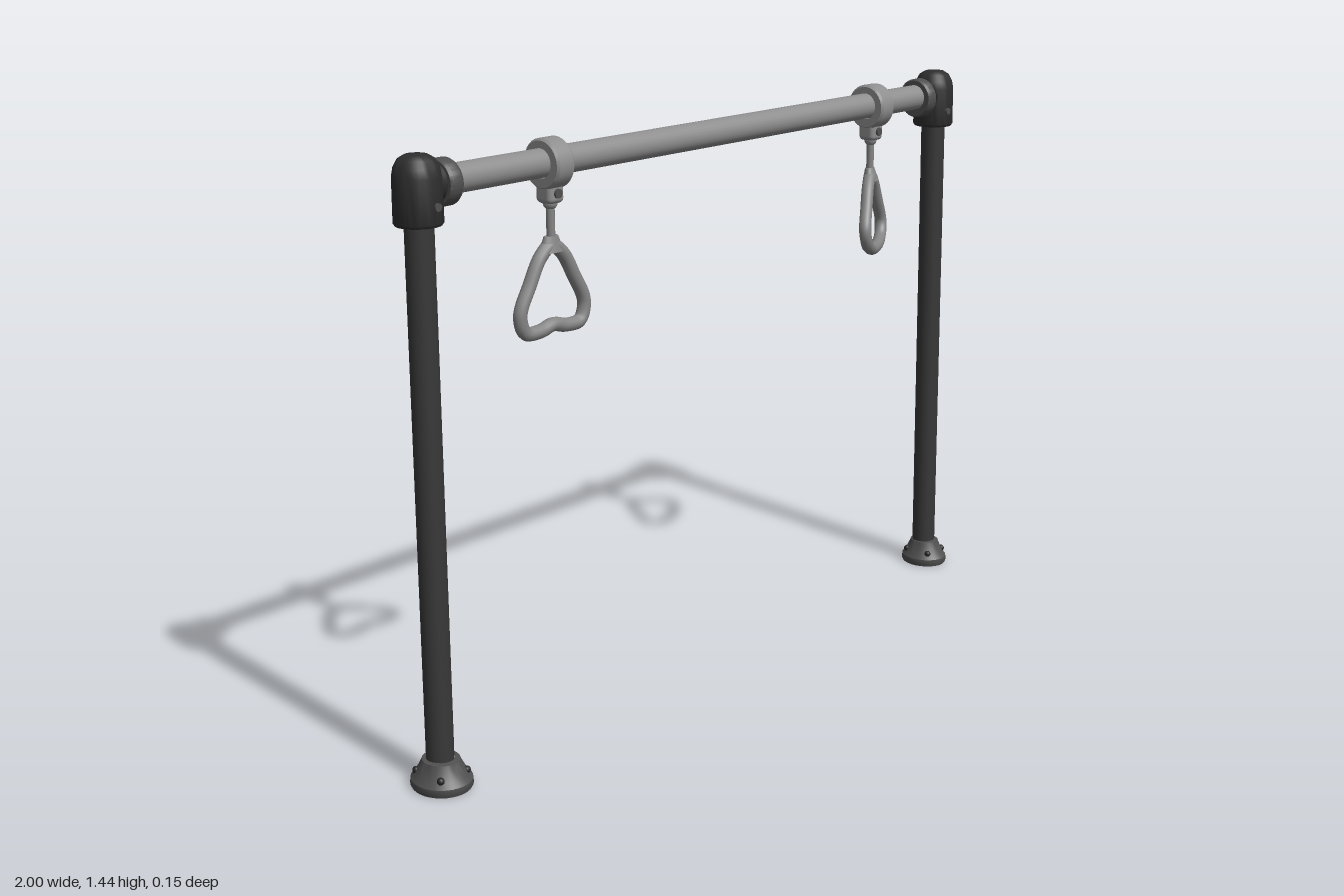
import * as THREE from 'three';
import { toCreasedNormals } from 'three/addons/utils/BufferGeometryUtils.js';
import { RoundedBoxGeometry } from 'three/addons/geometries/RoundedBoxGeometry.js';

const material = (name, color) => {
  const m = new THREE.MeshStandardMaterial({ color });
  m.name = name;
  return m;
};

const BAR_Y = 1.376;
const BAR_Z = -0.01;

export function createModel() {
  const post = material('charcoal post', 0x383838);
  const cap = material('dark cap', 0x2e2e2e);
  const fitting = material('medium grey fitting', 0x505050);
  const bolt = material('dark bolt', 0x252525);
  const steel = material('light grey steel', 0x8e8e8e);
  const grip = material('grey grip', 0x858585);

  const model = new THREE.Group();
  model.name = 'pullUpFrame';

  const add = (parent, name, geometry, mat, x = 0, y = 0, z = 0) => {
    const mesh = new THREE.Mesh(geometry, mat);
    mesh.name = name;
    mesh.position.set(x, y, z);
    parent.add(mesh);
    return mesh;
  };
  const lathe = (points, segments = 32) =>
    toCreasedNormals(new THREE.LatheGeometry(points.map(p => new THREE.Vector2(...p)), segments), 0.6);

  // Tube between two points
  const rod = (parent, name, a, b, r, mat) => {
    const from = new THREE.Vector3(...a), to = new THREE.Vector3(...b);
    const mesh = add(parent, name, new THREE.CylinderGeometry(r, r, from.distanceTo(to), 28), mat);
    mesh.position.copy(from).lerp(to, 0.5);
    mesh.quaternion.setFromUnitVectors(new THREE.Vector3(0, 1, 0), to.sub(from).normalize());
    return mesh;
  };

  // Posts with a floor flange, domed corner cap and bar socket
  const ends = [
    { side: -1, foot: -0.932, top: -0.925, flange: 0.069 },
    { side: 1, foot: 0.936, top: 0.918, flange: 0.06 },
  ];
  for (const { side, foot, top, flange } of ends) {
    const end = new THREE.Group();
    end.name = side < 0 ? 'rightPostAssembly' : 'leftPostAssembly';
    model.add(end);

    rod(end, 'post', [foot, 0.02, -0.003], [top, 1.32, -0.004], 0.032, post);

    const k = flange / 0.069;
    const base = add(end, 'floorFlange', lathe([
      [0, 0], [0.066, 0], [0.069, 0.006], [0.068, 0.02], [0.058, 0.032], [0.045, 0.058], [0.042, 0.066], [0.03, 0.068],
    ]), fitting, foot);
    base.scale.set(k, 1, k * 1.1);
    for (let i = 0; i < 4; i++) {
      const a = Math.PI / 4 + i * Math.PI / 2;
      add(end, 'flangeBolt', new THREE.SphereGeometry(0.009, 12, 8), bolt,
        foot + Math.cos(a) * 0.055 * k, 0.036, Math.sin(a) * 0.06 * k);
    }

    add(end, 'cornerCap', lathe([
      [0.03, 1.292], [0.05, 1.292], [0.054, 1.298], [0.053, 1.395], [0.049, 1.415],
      [0.04, 1.432], [0.025, 1.441], [0, 1.443],
    ]), cap, top, 0, -0.005);

    rod(end, 'barSocket', [top, BAR_Y, BAR_Z], [side * 0.875, BAR_Y, BAR_Z], 0.045, cap);
    const collar = add(end, 'barCollar', lathe([
      [0.031, -0.018], [0.048, -0.018], [0.052, -0.012], [0.052, 0.012], [0.048, 0.018], [0.031, 0.018],
    ]), fitting, side * 0.852, BAR_Y - 0.003, BAR_Z);
    collar.rotation.z = Math.PI / 2;

    // Set screws on both faces of the cap
    for (const z of [-1, 1]) {
      const screw = add(end, 'setScrew', new THREE.CylinderGeometry(0.009, 0.009, 0.01, 12), fitting,
        top - side * 0.008, 1.335, -0.005 + z * 0.053);
      screw.rotation.x = Math.PI / 2;
    }
  }

  // Crossbar
  rod(model, 'crossbar', [-0.88, BAR_Y, BAR_Z], [0.88, BAR_Y, BAR_Z], 0.033, steel);

  // Closed handle loop from half of its outline
  const loop = half => {
    const mirrored = half.slice(1, -1).reverse().map(([x, y]) => [-x, y]);
    const curve = new THREE.CatmullRomCurve3(
      [...half, ...mirrored].map(([x, y]) => new THREE.Vector3(x, y, 0)), true);
    return new THREE.TubeGeometry(curve, 96, 0.0165, 12, true);
  };
  const flatGrip = [[0, -0.015], [0.034, -0.038], [0.068, -0.095], [0.1, -0.162], [0.086, -0.204], [0.04, -0.208], [0, -0.199]];
  const roundGrip = [[0, -0.015], [0.034, -0.038], [0.07, -0.09], [0.104, -0.15], [0.088, -0.188], [0.045, -0.207], [0, -0.211]];

  // Hanging handles: clamp ring, lug, stem and grip
  const handles = [
    { name: 'rightHandle', x: -0.541, outline: flatGrip, turn: 0, tilt: 0 },
    { name: 'leftHandle', x: 0.641, outline: roundGrip, turn: 0.45, tilt: -0.1 },
  ];
  for (const { name, x, outline, turn, tilt } of handles) {
    const hanger = new THREE.Group();
    hanger.name = name;
    hanger.position.set(x, 0, BAR_Z);
    model.add(hanger);

    const ring = add(hanger, 'clampRing', lathe([
      [0.032, -0.027], [0.053, -0.027], [0.058, -0.021], [0.058, 0.021], [0.053, 0.027], [0.032, 0.027],
    ]), steel, 0, BAR_Y - 0.003, 0);
    ring.rotation.z = Math.PI / 2;

    add(hanger, 'clampLug', new RoundedBoxGeometry(0.048, 0.06, 0.05, 3, 0.012), steel, 0, 1.313, 0);
    const pin = add(hanger, 'lugBolt', new THREE.CylinderGeometry(0.011, 0.011, 0.06, 16), fitting, 0, 1.307, 0);
    pin.rotation.x = Math.PI / 2;
    add(hanger, 'swivel', new THREE.SphereGeometry(0.017, 16, 12), steel, 0, 1.284, 0);
    add(hanger, 'stem', new THREE.CylinderGeometry(0.01, 0.01, 0.09, 16), grip, 0, 1.24, 0);

    const handle = new THREE.Group();
    handle.name = 'grip';
    handle.position.y = 1.202;
    handle.rotation.set(tilt, turn, 0);
    hanger.add(handle);
    add(handle, 'gripNeck', new THREE.CylinderGeometry(0.02, 0.034, 0.036, 20), grip, 0, -0.012, 0).scale.z = 0.6;
    add(handle, 'gripLoop', loop(outline), grip);
  }

  return model;
}
